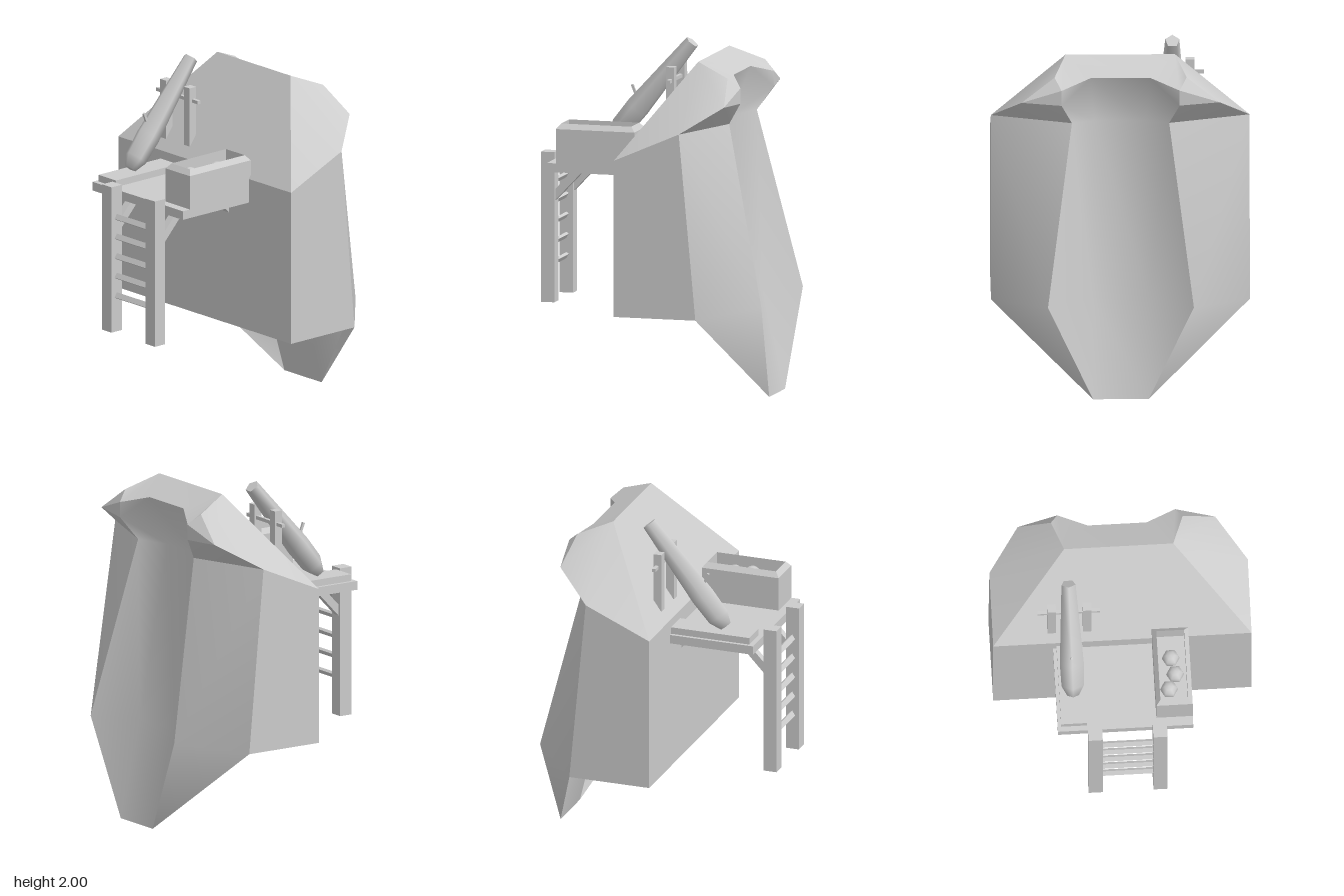
import * as THREE from 'three';

const stone = new THREE.MeshStandardMaterial({ color: 0xcccccc, side: THREE.DoubleSide });
stone.name = 'light grey';

// Named corner points of the +x half; a trailing "-" means the mirrored corner
const P = {
  K: [0.745, 0.52, 0.1],      // front bottom
  N: [0.745, 1.43, 0.1],      // front top
  P: [0.745, 1.6, -0.29],     // side top rear
  Q: [0.745, 0.52, -0.39],    // side bottom rear
  R: [0.315, 1.96, -0.28],    // ridge
  A: [0.38, 1.88, -0.475],    // lip, upper
  B: [0.34, 1.82, -0.54],     // lip, rear
  b: [0.34, 1.73, -0.54],     // lip, rear underside
  C: [0.57, 1.74, -0.51],     // lip, outer
  D: [0.17, 1.87, -0.45],     // rim of the hollow
  E: [0.28, 1.6, -0.455],     // rib top
  F: [0.42, 0.56, -0.69],     // rib bottom
  T: [0.16, 0, -0.66],        // lowest tip
  H: [0.15, 1.58, -0.34],     // hollow, upper
  I: [0.165, 0.57, -0.522],   // hollow, lower
};

// Cliff surfaces, smooth within each and creased between them:
// [name, faces mirrored to both sides, faces spanning both halves]
const cliffParts = [
  ['frontFace', [], ['K-KNN-']],
  ['frontSlope', [], ['N-NRR-']],
  ['sideFace', ['KQPN'], []],
  ['shoulder', ['RNPCA'], []],
  ['top', ['RABD'], ['RDD-R-']],
  ['lipCorner', ['ACB'], []],
  ['lipEnd', ['CbB'], []],
  ['lipUnderside', ['CPE', 'CEb'], []],
  ['backWall', ['PQFE', 'QTF'], []],
  ['hollow', ['EFI', 'EIH', 'FTI', 'bEH', 'bHD', 'BbD'], ['HII-H-', 'ITT-I-', 'DHH-D-']],
];

// Faces are corner strings, wound counter-clockwise from outside
function facesGeometry(sides, middles) {
  const ids = new Map(), pos = [], index = [];
  const vertex = (name, s) => {
    const key = name + s;
    if (!ids.has(key)) {
      ids.set(key, pos.length / 3);
      const [x, y, z] = P[name];
      pos.push(x * s, y, z);
    }
    return ids.get(key);
  };
  const fan = (c) => { for (let i = 1; i < c.length - 1; i++) index.push(c[0], c[i], c[i + 1]); };
  for (const f of sides) {
    fan([...f].map((n) => vertex(n, 1)));
    // same diagonal as the first side: keep the leading corner
    fan([f[0], ...[...f].slice(1).reverse()].map((n) => vertex(n, -1)));
  }
  for (const f of middles) fan(f.match(/[A-Za-z]-?/g).map((n) => vertex(n[0], n[1] ? -1 : 1)));
  const g = new THREE.BufferGeometry();
  g.setAttribute('position', new THREE.Float32BufferAttribute(pos, 3));
  g.setIndex(index);
  g.computeVertexNormals();
  return g;
}

// Open-topped crate lofted through rectangles [inset, y]
function crateGeometry(x0, x1, z0, z1, rings) {
  const pos = [], index = [];
  for (const [d, y] of rings) {
    pos.push(x0 + d, y, z1 - d, x1 - d, y, z1 - d, x1 - d, y, z0 + d, x0 + d, y, z0 + d);
  }
  for (let r = 0; r < rings.length - 1; r++) {
    for (let i = 0; i < 4; i++) {
      const a = r * 4 + i, b = r * 4 + (i + 1) % 4;
      index.push(a, b, b + 4, a, b + 4, a + 4);
    }
  }
  const l = (rings.length - 1) * 4;
  index.push(l, l + 1, l + 2, l, l + 2, l + 3, 0, 2, 1, 0, 3, 2);
  let g = new THREE.BufferGeometry();
  g.setAttribute('position', new THREE.Float32BufferAttribute(pos, 3));
  g.setIndex(index);
  g = g.toNonIndexed();
  g.computeVertexNormals();
  return g;
}

export function createModel() {
  const model = new THREE.Group();
  model.name = 'cliffCannonPost';

  const add = (name, geometry, parent = model) => {
    const m = new THREE.Mesh(geometry, stone);
    m.name = name;
    parent.add(m);
    return m;
  };
  const box = (name, x0, x1, y0, y1, z0, z1) => {
    const m = add(name, new THREE.BoxGeometry(x1 - x0, y1 - y0, z1 - z0));
    m.position.set((x0 + x1) / 2, (y0 + y1) / 2, (z0 + z1) / 2);
    return m;
  };
  // Square beam in the yz plane between two points [y, z]
  const beam = (name, x, a, b, t) => {
    const dy = b[0] - a[0], dz = b[1] - a[1];
    const m = add(name, new THREE.BoxGeometry(t, Math.hypot(dy, dz), t));
    m.position.set(x, (a[0] + b[0]) / 2, (a[1] + b[1]) / 2);
    m.rotation.x = Math.atan2(dz, dy);
  };

  // Cliff shell, open underneath
  const cliff = new THREE.Group();
  cliff.name = 'cliff';
  for (const [name, sides, middles] of cliffParts) add(name, facesGeometry(sides, middles), cliff);
  model.add(cliff);

  // Platform
  box('deck', -0.4, 0.38, 1.288, 1.34, 0.1, 0.61);
  box('raisedPlank', -0.38, -0.23, 1.34, 1.38, 0.1, 0.58);

  // Ladder, its posts hollow at the foot, and the braces behind them
  for (const x of [-0.187, 0.187]) {
    const { geometry } = box('ladderPost', x - 0.041, x + 0.041, 0.505, 1.38, 0.61, 0.69);
    geometry.setIndex([...geometry.index.array].filter((_, i) => i < 18 || i >= 24));
    beam('frontBrace', x, [1.11, 0.63], [1.3, 0.45], 0.045);
    beam('rearBrace', x, [1.2, 0.08], [1.3, 0.17], 0.045);
  }
  for (let i = 0; i < 5; i++) {
    const y = 0.722 + i * 0.118;
    box('rung', -0.15, 0.15, y - 0.016, y + 0.016, 0.641, 0.659).rotation.x = -0.58;
  }

  // Ammunition crate
  add('crate', crateGeometry(0.17, 0.38, 0.085, 0.556,
    [[0, 1.29], [0, 1.54], [0.025, 1.57], [0.025, 1.47]]));
  for (const [x, z] of [[0.27, 0.25], [0.29, 0.35], [0.25, 0.44]]) {
    add('cannonball', new THREE.SphereGeometry(0.052, 6, 6)).position.set(x, 1.49, z);
  }

  // Cannon mount
  for (const x of [-0.405, -0.2]) box('mountPost', x - 0.025, x + 0.025, 1.49, 1.84, 0.01, 0.06);
  box('axle', -0.485, -0.125, 1.752, 1.772, 0.022, 0.042);

  // Cannon, five-sided, its axis running from breech up to muzzle
  const cannon = new THREE.Group();
  cannon.name = 'cannon';
  const breech = new THREE.Vector3(-0.302, 1.402, 0.408);
  const muzzle = new THREE.Vector3(-0.302, 1.973, -0.062);
  const length = breech.distanceTo(muzzle);
  cannon.position.copy(breech);
  cannon.rotation.x = Math.atan2(muzzle.z - breech.z, muzzle.y - breech.y);
  const profile = [[0, 0], [0.036, 0], [0.068, 0.07], [0.073, 0.22], [0.043, length]];
  add('barrel', new THREE.LatheGeometry(profile.map((p) => new THREE.Vector2(...p)), 5), cannon);
  const cap = add('muzzleFace', new THREE.CircleGeometry(0.043, 5, -Math.PI / 2), cannon);
  cap.position.y = length;
  cap.rotation.x = -Math.PI / 2;
  model.add(cannon);
  beam('fuse', -0.302, [1.63, 0.268], [1.71, 0.3], 0.014);

  return model;
}
